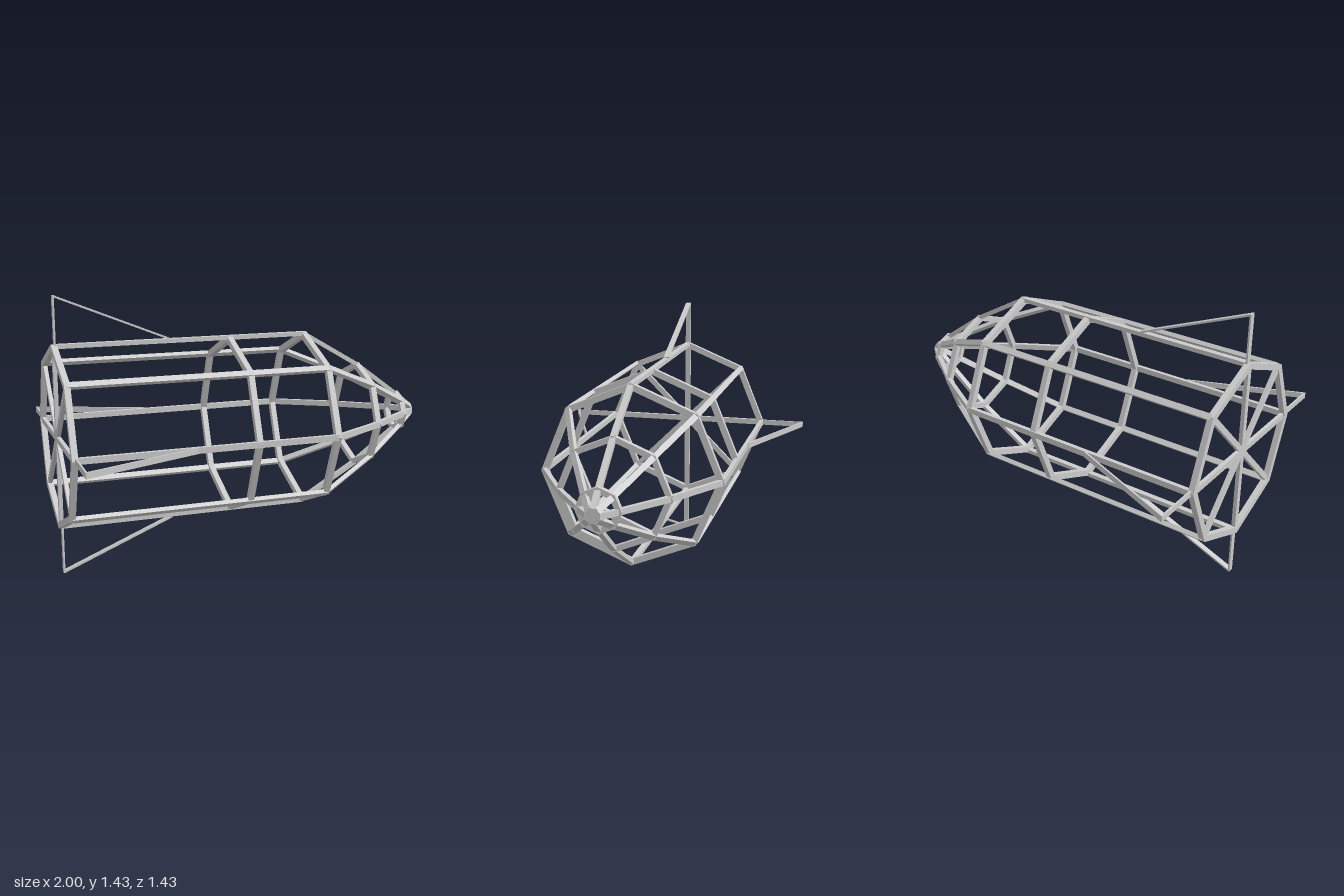
import * as THREE from 'three';

const material = new THREE.MeshStandardMaterial({ color: 0xcccccc, flatShading: true, side: THREE.DoubleSide });
const AXIS_Y = 0.715;
const SIDES = 8;

// Rectangular bar between two points [x, radius] of a meridian plane
function bar(name, [x0, r0], [x1, r1], thickness, width = 0.03) {
  const length = Math.hypot(x1 - x0, r1 - r0);
  const mesh = new THREE.Mesh(new THREE.BoxGeometry(length, thickness, width), material);
  mesh.position.set((x0 + x1) / 2, (r0 + r1) / 2, 0);
  mesh.rotation.z = Math.atan2(r1 - r0, x1 - x0);
  mesh.name = name;
  return mesh;
}

// Octagonal hoop around the long axis
function hoop(name, x, outer, depth) {
  const inner = outer - depth, h = 0.015;
  const profile = [[inner, -h], [outer, -h], [outer, h], [inner, h], [inner, -h]]
    .map(([r, y]) => new THREE.Vector2(r, y));
  const mesh = new THREE.Mesh(new THREE.LatheGeometry(profile, SIDES), material);
  mesh.rotation.z = -Math.PI / 2;
  mesh.position.x = x;
  mesh.name = name;
  return mesh;
}

export function createModel() {
  const model = new THREE.Group();
  model.name = 'rocketFrame';
  const body = new THREE.Group();
  body.name = 'frame';
  body.position.y = AXIS_Y;
  model.add(body);

  // Hoops from tail to nose
  body.add(
    hoop('tailHoop', -0.985, 0.475, 0.035),
    hoop('middleHoop', -0.075, 0.475, 0.035),
    hoop('shoulderHoop', 0.345, 0.475, 0.035),
    hoop('noseHoop', 0.663, 0.288, 0.03),
    hoop('noseTipHoop', 0.908, 0.112, 0.03)
  );

  // Lengthwise rails, tail spokes and fins, repeated round the axis
  const rail = [[-0.985, 0.463], [0.345, 0.463], [0.663, 0.277], [0.908, 0.096], [0.992, 0.028]];
  for (let i = 0; i < SIDES; i++) {
    const rib = new THREE.Group();
    rib.name = 'rib';
    rib.rotation.x = (i * Math.PI * 2) / SIDES;
    for (let j = 0; j < rail.length - 1; j++) {
      rib.add(bar(j ? 'noseRail' : 'bodyRail', rail[j], rail[j + 1], 0.022));
    }
    rib.add(bar('tailSpoke', [-0.985, 0], [-0.985, 0.46], 0.02));
    if (i % 2 === 0) {
      rib.add(
        bar('finUpright', [-0.981, 0.46], [-0.981, 0.715], 0.009),
        bar('finEdge', [-0.981, 0.711], [-0.4, 0.474], 0.009)
      );
    }
    body.add(rib);
  }

  // Blunt nose cap
  const cap = new THREE.Mesh(
    new THREE.CylinderGeometry(0.038, 0.05, 0.02, SIDES, 1, false, Math.PI / SIDES), material);
  cap.rotation.z = -Math.PI / 2;
  cap.position.x = 0.99;
  cap.name = 'noseCap';
  body.add(cap);

  return model;
}
